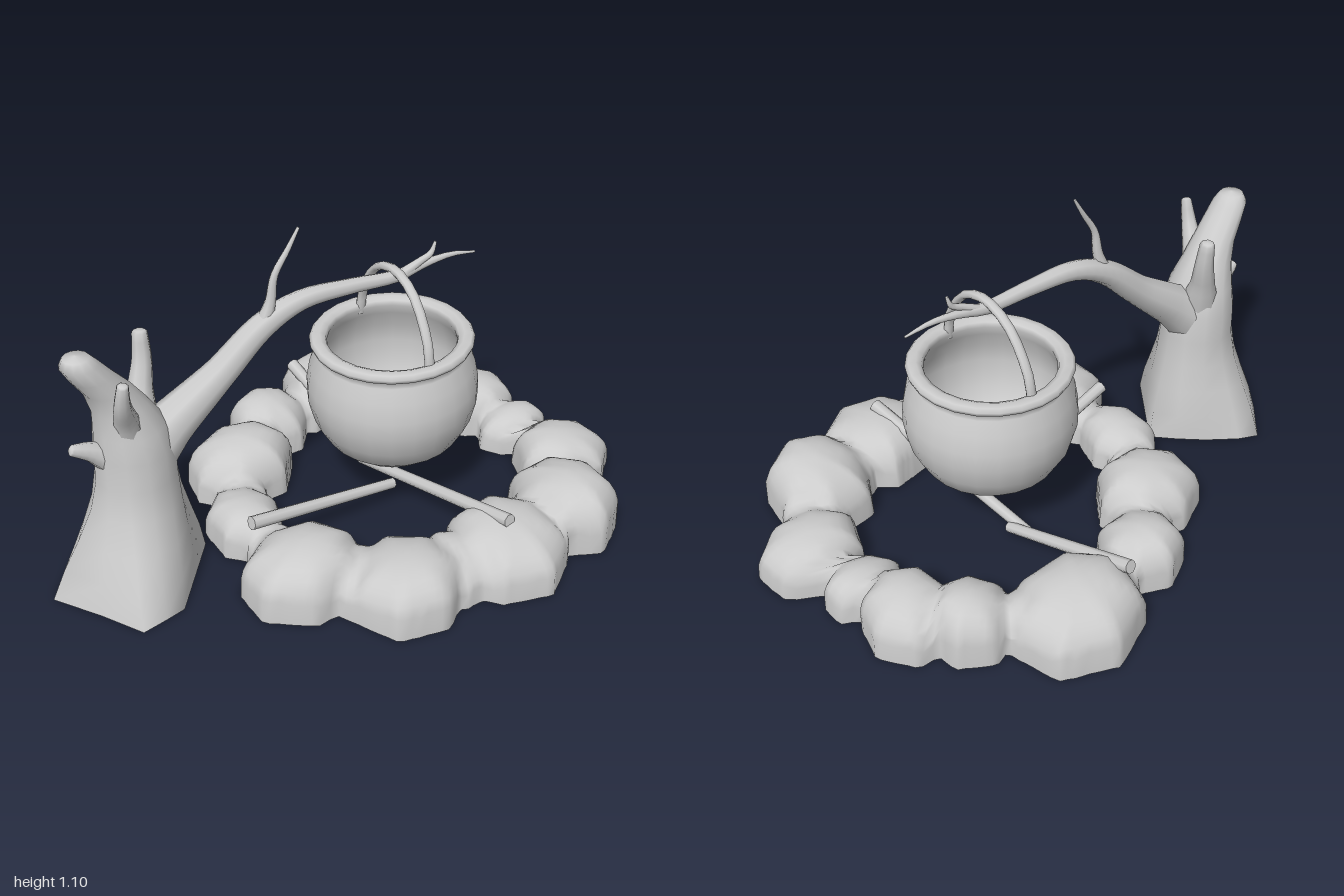
import * as THREE from 'three';

const V = (x, y, z) => new THREE.Vector3(x, y, z);
const grey = new THREE.MeshStandardMaterial({ color: 0xcccccc, side: THREE.DoubleSide });

function mesh(name, geometry, parent) {
  const m = new THREE.Mesh(geometry, grey);
  m.name = name;
  parent.add(m);
  return m;
}

// Skin over closed rings that all have the same number of points
function loft(rings) {
  const n = rings[0].length, pos = [], idx = [];
  rings.forEach(r => r.forEach(p => pos.push(p.x, p.y, p.z)));
  for (let i = 0; i < rings.length - 1; i++)
    for (let j = 0; j < n; j++) {
      const a = i * n + j, b = i * n + (j + 1) % n;
      idx.push(a, a + n, b, b, a + n, b + n);
    }
  const g = new THREE.BufferGeometry();
  g.setAttribute('position', new THREE.Float32BufferAttribute(pos, 3));
  g.setIndex(idx);
  g.computeVertexNormals();
  return g;
}

// Tapering limb: path entries are [x, y, z, radius]
function limb(path, sides = 8, steps = 4) {
  const curve = new THREE.CatmullRomCurve3(path.map(p => V(p[0], p[1], p[2])));
  const n = (path.length - 1) * steps;
  const frames = curve.computeFrenetFrames(n);
  const rings = [];
  const ring = (i, scale, push) => {
    const u = i / n, f = curve.getUtoTmapping(u) * (path.length - 1);
    const k = Math.min(Math.floor(f), path.length - 2);
    const r = THREE.MathUtils.lerp(path[k][3], path[k + 1][3], f - k);
    const c = curve.getPointAt(u).addScaledVector(frames.tangents[i], push * r);
    rings.push(Array.from({ length: sides }, (_, j) => {
      const a = j / sides * Math.PI * 2;
      return c.clone()
        .addScaledVector(frames.normals[i], Math.cos(a) * r * scale)
        .addScaledVector(frames.binormals[i], -Math.sin(a) * r * scale);
    }));
  };
  for (let i = 0; i <= n; i++) ring(i, 1, 0);
  ring(n, 0.7, 0.25);
  ring(n, 0, 0.3);
  return loft(rings);
}

function makeTree() {
  const tree = new THREE.Group();
  tree.name = 'tree';
  // Trunk: an angular root flare blending into a round stem that leans into a stump
  const foot = [[-0.47, 0.01], [-0.56, 0.14], [-0.65, 0.27], [-0.72, 0.29], [-0.8, 0.31], [-0.89, 0.18],
    [-1, 0.04], [-0.9, -0.1], [-0.79, -0.23], [-0.72, -0.2], [-0.62, -0.13], [-0.54, -0.06]];
  // Levels: height, flare, radius, centre x, centre z
  const levels = [[0, 1, 0.17, -0.69, 0.035], [0.1, 0.7, 0.155, -0.69, 0.035], [0.2, 0.38, 0.142, -0.69, 0.035],
    [0.3, 0.12, 0.135, -0.69, 0.035], [0.4, 0, 0.13, -0.69, 0.035], [0.5, 0, 0.128, -0.69, 0.035],
    [0.58, 0, 0.112, -0.7, 0.038], [0.66, 0, 0.087, -0.725, 0.042], [0.73, 0, 0.072, -0.76, 0.05],
    [0.79, 0, 0.065, -0.805, 0.06], [0.84, 0, 0.058, -0.838, 0.066], [0.868, 0, 0.04, -0.845, 0.068],
    [0.875, 0, 0, -0.845, 0.068]];
  mesh('trunk', loft(levels.map(([y, flare, r, cx, cz]) => foot.map(([x, z], j) => {
    const a = j / 12 * Math.PI * 2;
    return V(
      THREE.MathUtils.lerp(cx + Math.cos(a) * r, x, flare), y,
      THREE.MathUtils.lerp(cz + Math.sin(a) * r, z, flare));
  }))), tree);

  const limbs = {
    frontStump: [[-0.7, 0.5, 0.06, 0.06], [-0.73, 0.64, 0.115, 0.04], [-0.755, 0.74, 0.175, 0.026],
      [-0.755, 0.815, 0.195, 0.018]],
    backStump: [[-0.66, 0.52, 0.0, 0.07], [-0.63, 0.64, -0.04, 0.042], [-0.61, 0.73, -0.06, 0.032],
      [-0.607, 0.815, -0.07, 0.025]],
    sideStump: [[-0.74, 0.46, 0.045, 0.06], [-0.83, 0.53, 0.06, 0.032], [-0.89, 0.56, 0.07, 0.018]],
    mainBranch: [[-0.68, 0.44, 0.035, 0.11], [-0.56, 0.54, 0.035, 0.075], [-0.4, 0.665, 0.035, 0.052],
      [-0.25, 0.795, 0.035, 0.042], [-0.12, 0.85, 0.035, 0.033], [0.05, 0.855, 0.035, 0.026],
      [0.22, 0.85, 0.035, 0.021], [0.32, 0.87, 0.035, 0.014], [0.42, 0.88, 0.035, 0.009], [0.51, 0.868, 0.035, 0.004]],
    upperTwig: [[-0.26, 0.77, 0.035, 0.032], [-0.225, 0.87, 0.04, 0.018], [-0.21, 0.96, 0.042, 0.012],
      [-0.165, 1.035, 0.042, 0.009], [-0.127, 1.1, 0.04, 0.005]],
    endTwig: [[0.24, 0.852, 0.035, 0.018], [0.3, 0.885, 0.04, 0.012], [0.34, 0.905, 0.04, 0.01],
      [0.355, 0.942, 0.04, 0.005]]
  };
  for (const [name, path] of Object.entries(limbs)) mesh(name, limb(path), tree);
  return tree;
}

function makeCauldron() {
  const cauldron = new THREE.Group();
  cauldron.name = 'cauldron';
  cauldron.position.set(0.213, 0.42, 0.04);
  // Bowl: outer wall, rolled rim and inner wall, tipped slightly
  const profile = [[0, -0.225], [0.09, -0.22], [0.165, -0.195], [0.225, -0.145], [0.265, -0.075], [0.284, 0],
    [0.284, 0.06], [0.272, 0.125], [0.252, 0.175], [0.247, 0.195], [0.265, 0.203], [0.27, 0.217], [0.26, 0.229],
    [0.235, 0.231], [0.217, 0.222], [0.212, 0.205], [0.225, 0.17], [0.25, 0.11], [0.262, 0.04], [0.25, -0.06],
    [0.21, -0.135], [0.15, -0.18], [0.08, -0.2], [0, -0.205]];
  const bowl = mesh('bowl', new THREE.LatheGeometry(profile.map(p => new THREE.Vector2(...p)), 24), cauldron);
  bowl.rotation.z = 0.035;
  // Arched carrying handle hanging over the branch
  const arch = [[0.19, 0.227], [0.21, 0.223], [0.27, 0.215], [0.34, 0.18], [0.41, 0.12], [0.447, 0.04]];
  const pts = [...arch.map(([y, z]) => V(0, y, z)), ...arch.map(([y, z]) => V(0, y, -z)).reverse()];
  const handle = mesh('handle', new THREE.TubeGeometry(new THREE.CatmullRomCurve3(pts), 15, 0.014, 8), cauldron);
  handle.scale.x = 1.25;
  return cauldron;
}

// Ring of fused stones: one hollow skin over the highest of many rounded domes
function makeStoneRing() {
  let seed = 7;
  const rand = () => (seed = (seed * 16807) % 2147483647) / 2147483647;
  // Stones in order round the fire: x, z, half width, half depth, height
  const stones = [
    [0.32, -0.545, 0.22, 0.195, 0.215], [-0.02, -0.45, 0.145, 0.145, 0.18], [-0.22, -0.26, 0.19, 0.165, 0.2],
    [-0.33, 0.02, 0.125, 0.16, 0.15], [-0.28, 0.35, 0.2, 0.175, 0.2], [-0.02, 0.54, 0.19, 0.19, 0.185],
    [0.36, 0.545, 0.2, 0.2, 0.19], [0.65, 0.45, 0.175, 0.2, 0.215], [0.828, 0.2, 0.175, 0.155, 0.165],
    [0.77, -0.03, 0.135, 0.1, 0.14], [0.73, -0.23, 0.145, 0.16, 0.185], [0.59, -0.37, 0.14, 0.14, 0.2]
  ];
  // Lower necks joining each stone to the next
  const necks = stones.map((s, i) => {
    const t = stones[(i + 1) % stones.length];
    const r = 0.72 * Math.min(s[2], s[3], t[2], t[3]);
    return [(s[0] + t[0]) / 2, (s[1] + t[1]) / 2, r, r, 0.8 * Math.min(s[4], t[4])];
  });
  const domes = [...stones, ...necks].map(s => [...s, rand() * 6.28, rand() * 6.28]);
  // Height of the skin above a point; 0 outside every stone
  const facet = Math.PI * 2 / 7;
  const height = (x, z) => {
    let top = 0;
    for (const [cx, cz, rx, rz, h, turn, lean] of domes) {
      const dx = (x - cx) / rx, dz = (z - cz) / rz;
      const a = Math.atan2(dz, dx);
      const edge = 0.95 / Math.cos((a + turn + 7) % facet - facet / 2);
      const d = Math.hypot(dx, dz) / edge;
      if (d < 1) top = Math.max(top, h * (1 - 0.1 * d * (1 + Math.cos(a - lean))) * Math.cbrt(1 - d ** 3));
    }
    return top;
  };
  // Sections fan out from the middle of the fire, running from outer foot to inner foot
  const around = 200, across = 14, mx = 0.22, mz = 0;
  const rings = Array.from({ length: across + 1 }, () => []);
  for (let j = 0; j < around; j++) {
    const a = j / around * Math.PI * 2, cos = Math.cos(a), sin = Math.sin(a);
    const hits = [];
    for (let r = 0.25; r < 1; r += 0.004) if (height(mx + cos * r, mz + sin * r) > 0) hits.push(r);
    const outer = hits[hits.length - 1], inner = hits[0];
    rings.forEach((ring, k) => {
      const r = THREE.MathUtils.lerp(outer, inner, (1 - Math.cos(k / across * Math.PI)) / 2);
      const x = mx + cos * r, z = mz + sin * r;
      ring.push(V(x, k % across ? height(x, z) : 0, z));
    });
  }
  return loft(rings);
}

function makeFirewood() {
  const wood = new THREE.Group();
  wood.name = 'firewood';
  // Sticks leaning from the stones in towards the middle
  const sticks = [
    [V(0.145, 0.195, -0.59), V(0.235, 0.03, -0.08)],
    [V(-0.375, 0.175, 0.18), V(0.2, 0.07, 0.085)],
    [V(0.345, 0.195, 0.57), V(0.2, 0.03, -0.14)]
  ];
  for (const [a, b] of sticks) {
    const stick = mesh('stick', new THREE.CylinderGeometry(0.019, 0.023, a.distanceTo(b), 8), wood);
    stick.position.copy(a).lerp(b, 0.5);
    stick.quaternion.setFromUnitVectors(V(0, 1, 0), b.clone().sub(a).normalize());
  }
  return wood;
}

export function createModel() {
  const model = new THREE.Group();
  model.name = 'campfireCauldron';
  model.add(makeTree(), makeCauldron(), makeFirewood());
  mesh('stoneRing', makeStoneRing(), model);
  return model;
}
